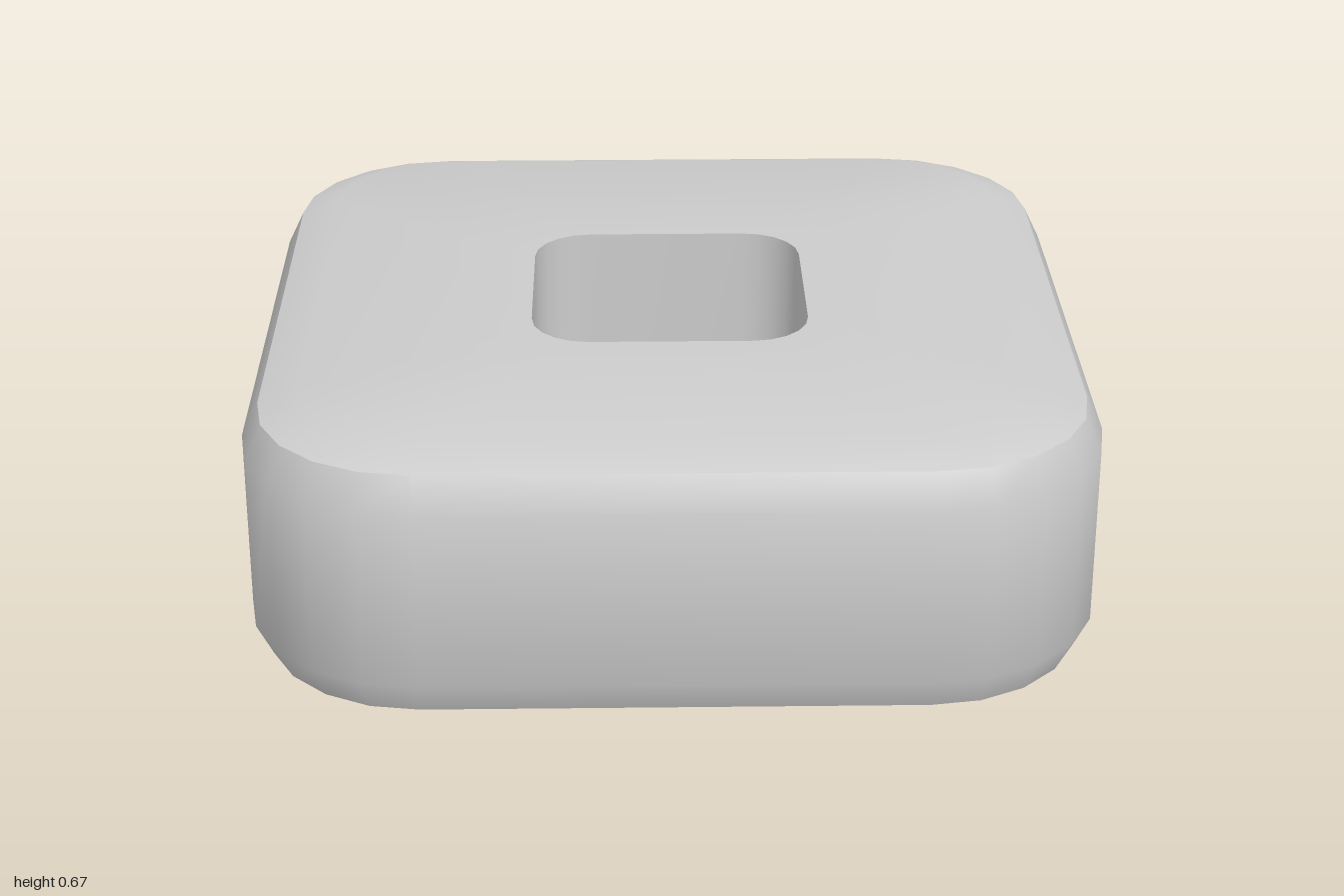
import * as THREE from 'three';
import { toCreasedNormals } from 'three/addons/utils/BufferGeometryUtils.js';

const CORNER_STEPS = 5;

// Rounded square loop: half width, corner radius, height
function squareLoop(half, radius, y) {
  const points = [];
  const c = half - radius;
  for (let corner = 0; corner < 4; corner++) {
    const middle = (corner + 0.5) * Math.PI / 2;
    const cx = c * Math.sign(Math.cos(middle));
    const cz = c * Math.sign(Math.sin(middle));
    for (let i = 0; i <= CORNER_STEPS; i++) {
      const a = (corner + i / CORNER_STEPS) * Math.PI / 2;
      points.push([cx + radius * Math.cos(a), y, cz + radius * Math.sin(a)]);
    }
  }
  return points;
}

// Joins each loop to the next, and the last back to the first
function joinLoops(loops) {
  const positions = [];
  loops.forEach((lower, k) => {
    const upper = loops[(k + 1) % loops.length];
    for (let i = 0; i < lower.length; i++) {
      const j = (i + 1) % lower.length;
      positions.push(...lower[i], ...upper[i], ...lower[j]);
      positions.push(...lower[j], ...upper[i], ...upper[j]);
    }
  });
  const geometry = new THREE.BufferGeometry();
  geometry.setAttribute('position', new THREE.Float32BufferAttribute(positions, 3));
  return toCreasedNormals(geometry, 0.6);
}

export function createModel() {
  const height = 0.67;
  // Lower bevel, outer wall, upper bevel, then the straight square hole
  const loops = [
    squareLoop(0.865, 0.28, 0),
    squareLoop(0.96, 0.375, 0.035),
    squareLoop(1, 0.415, 0.117),
    squareLoop(1, 0.415, height - 0.117),
    squareLoop(0.96, 0.375, height - 0.035),
    squareLoop(0.865, 0.28, height),
    squareLoop(0.335, 0.14, height),
    squareLoop(0.335, 0.14, 0),
  ];
  const body = new THREE.Mesh(
    joinLoops(loops),
    new THREE.MeshStandardMaterial({ color: 0xcccccc })
  );
  body.name = 'roundedSquareRing';

  const group = new THREE.Group();
  group.name = 'squareRing';
  group.add(body);
  return group;
}
